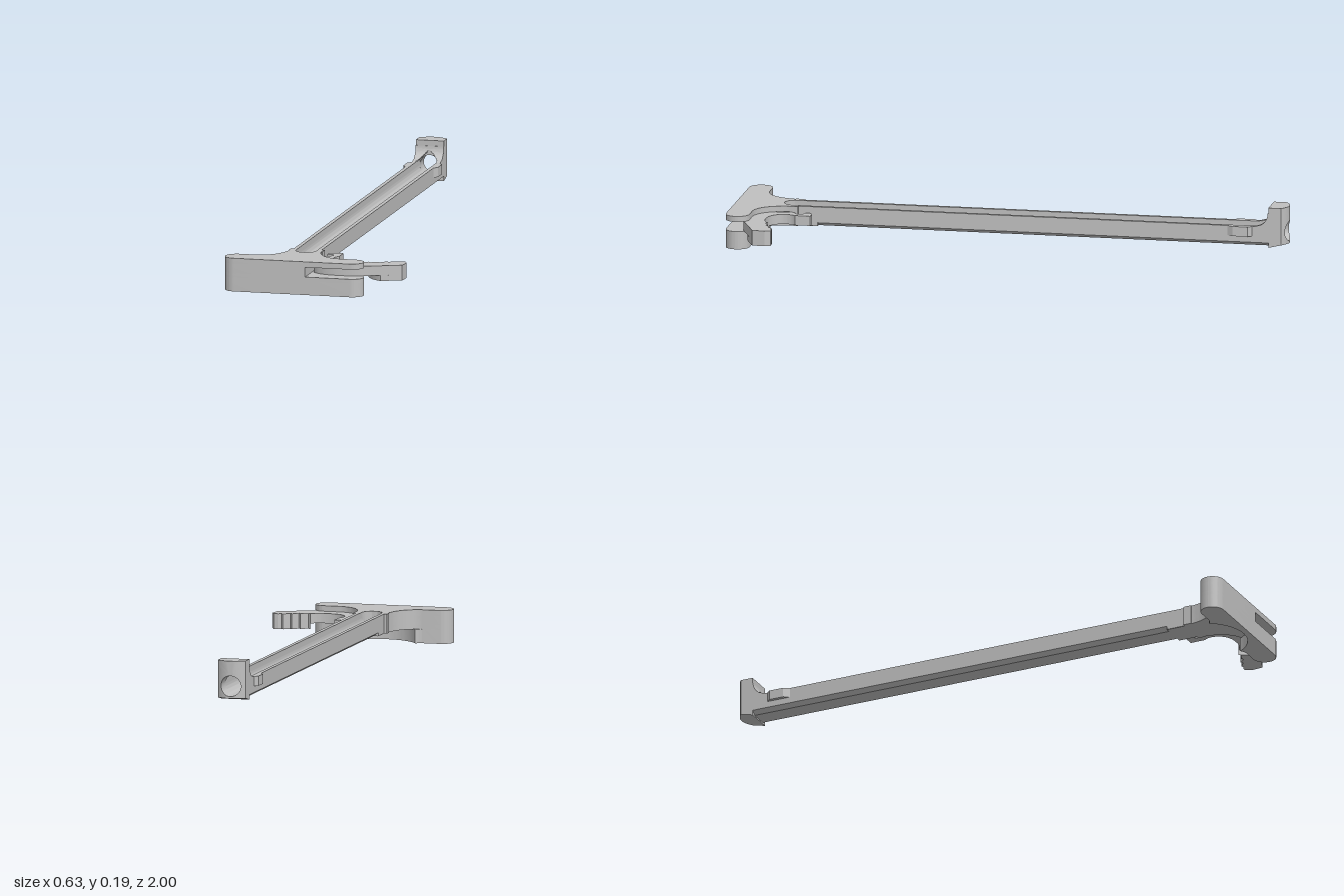
import * as THREE from 'three';
import { toCreasedNormals } from 'three/addons/utils/BufferGeometryUtils.js';
import { ParametricGeometry } from 'three/addons/geometries/ParametricGeometry.js';

const CX = -0.061; // centre line of the bar and handle
const R = 0.037;   // groove and bore radius
const HALF = 0.0515;

export function createModel() {
  const model = new THREE.Group();
  const metal = new THREE.MeshStandardMaterial({ color: 0xc0c0c0 });
  metal.name = 'light grey metal';

  const add = (name, geo, x = 0, y = 0, z = 0) => {
    const mesh = new THREE.Mesh(toCreasedNormals(geo, 0.5), metal);
    mesh.name = name;
    mesh.position.set(x, y, z);
    model.add(mesh);
  };
  const extrude = (shape, depth) =>
    new THREE.ExtrudeGeometry(shape, { depth, bevelEnabled: false, curveSegments: 20 });
  // horizontal plate: the shape is drawn in x and z
  const plate = (name, shape, y0, y1, x = 0) =>
    add(name, extrude(shape, y1 - y0).rotateX(Math.PI / 2), x, y1, 0);
  const poly = (pts) => new THREE.Shape(pts.map((p) => new THREE.Vector2(...p)));

  // long bar with a U groove along the top
  const barSection = (c) => {
    const s = new THREE.Shape();
    s.moveTo(-HALF, 0.12);
    s.lineTo(-HALF, 0.05 + c * 0.7);
    s.lineTo(-HALF + c, 0.05);
    s.lineTo(HALF - c, 0.05);
    s.lineTo(HALF, 0.05 + c * 0.7);
    s.lineTo(HALF, 0.12);
    s.lineTo(R, 0.12);
    s.lineTo(R, 0.1);
    s.absarc(0, 0.1, R, 0, -Math.PI, true);
    s.lineTo(-R, 0.12);
    return s;
  };
  add('bar', extrude(barSection(0.018), 1.635), CX, 0, -0.935);
  add('barRoot', extrude(barSection(0.001), 0.13), CX, 0, 0.7);

  // end lug: a ring section swept round the bore, with a curved rear face
  const corners = [[-HALF, 0.045], [HALF, 0.045], [HALF, 0.19], [-HALF, 0.19]];
  const SIDE = 10, RINGS = 8;
  const lug = (u, v, target) => {
    const k = Math.round(u * SIDE * 4), j = Math.round(v * (RINGS + 3));
    const side = Math.floor(k / SIDE) % 4, t = (k % SIDE) / SIDE;
    const [ax, ay] = corners[side], [bx, by] = corners[(side + 1) % 4];
    const ox = ax + (bx - ax) * t, oy = ay + (by - ay) * t;
    const d = Math.hypot(ox, oy - 0.1);
    const hx = (ox / d) * R, hy = 0.1 + ((oy - 0.1) / d) * R;
    if (j === 0 || j === RINGS + 3) return target.set(hx, hy, -0.932);
    if (j === RINGS + 2) return target.set(ox, oy, -0.932);
    const f = (j - 1) / RINGS;
    const x = hx + (ox - hx) * f;
    const y = hy + (Math.max(oy, 0.056) - hy) * f;
    return target.set(x, y, -1 + 0.022 * (x / HALF) ** 2);
  };
  add('endLug', new ParametricGeometry(lug, SIDE * 4, RINGS + 3), CX);

  // concave fillet between lug and bar, peaked over the groove
  const strips = 24;
  const width = (2 * HALF) / strips;
  for (let i = 0; i < strips; i++) {
    const x = -HALF + width * (i + 0.5);
    const y0 = Math.abs(x) < R
      ? Math.max(0.12 + 0.038 * (1 - Math.abs(x) / R), 0.1 + Math.sqrt(R * R - x * x)) : 0.12;
    const pts = [[0.935, y0]];
    for (let k = 0; k <= 8; k++) {
      const y = y0 + ((0.17 - y0) * k) / 8;
      pts.push([0.88 + Math.sqrt(Math.max(0, 0.0025 - (0.17 - y) ** 2)), y]);
    }
    pts.push([0.935, 0.17]);
    add('lugFillet', extrude(poly(pts), width).rotateY(Math.PI / 2), CX + x - width / 2, 0, 0);
  }

  // guide tabs near the lug and small ears at the handle
  for (const s of [-1, 1]) {
    const tab = poly([[0.045, -0.873], [0.0515, -0.873], [0.064, -0.86], [0.064, -0.805],
      [0.0515, -0.785], [0.045, -0.785]].map(([x, z]) => [s * x, z]));
    plate('guideTab', tab, 0.085, 0.12, CX);
    add('handleEar', new THREE.BoxGeometry(0.014, 0.07, 0.03), CX + s * 0.055, 0.085, 0.785);
  }

  // T handle outline, optionally notched for the groove or cut away for the latch
  const handle = (notch, slot) => {
    const s = new THREE.Shape();
    s.moveTo(-0.058, 0.79);
    s.bezierCurveTo(-0.06, 0.86, -0.1, 0.915, -0.16, 0.915);
    s.lineTo(-0.212, 0.915);
    s.absarc(-0.212, 0.9575, 0.0425, -Math.PI / 2, -Math.PI * 1.5, true);
    if (slot) {
      s.lineTo(0.05, 1);
      s.lineTo(0.05, 0.79);
    } else {
      s.lineTo(0.212, 1);
      s.absarc(0.212, 0.9575, 0.0425, Math.PI / 2, -Math.PI / 2, true);
      s.lineTo(0.16, 0.915);
      s.bezierCurveTo(0.1, 0.915, 0.06, 0.86, 0.058, 0.79);
    }
    if (notch) {
      s.lineTo(R, 0.79);
      s.absarc(0, 0.793, R, 0, Math.PI, false);
      s.lineTo(-R, 0.79);
    }
    return s;
  };
  plate('handleTop', handle(true, false), 0.1, 0.12, CX);
  plate('handleCore', handle(true, true), 0.065, 0.1, CX);
  plate('handleFloor', handle(false, false), 0.05, 0.065, CX);

  // lower grip lip with a round scoop in the middle
  const lip = new THREE.Shape();
  const a = Math.atan2(0.073, 0.128);
  lip.moveTo(-0.128, 0.903);
  lip.quadraticCurveTo(-0.14, 0.915, -0.16, 0.915);
  lip.lineTo(-0.212, 0.915);
  lip.absarc(-0.212, 0.9575, 0.0425, -Math.PI / 2, -Math.PI * 1.5, true);
  lip.lineTo(0.212, 1);
  lip.absarc(0.212, 0.9575, 0.0425, Math.PI / 2, -Math.PI / 2, true);
  lip.lineTo(0.16, 0.915);
  lip.quadraticCurveTo(0.14, 0.915, 0.128, 0.903);
  lip.absarc(0, 0.83, Math.hypot(0.128, 0.073), a, Math.PI - a, false);
  plate('gripLip', lip, 0, 0.05, CX);

  // swinging latch: hook, arm and serrated finger pad
  const serration = [[0.18, 0.842], [0.19, 0.85], [0.215, 0.836], [0.222, 0.842], [0.242, 0.821],
    [0.25, 0.828], [0.272, 0.809], [0.28, 0.814], [0.29, 0.808], [0.306, 0.808], [0.316, 0.828],
    [0.312, 0.873]];
  const latch = new THREE.Shape();
  latch.moveTo(0.004, 0.728);
  latch.lineTo(0.02, 0.714);
  latch.lineTo(0.055, 0.714);
  latch.lineTo(0.055, 0.77);
  latch.bezierCurveTo(0.03, 0.8, 0.045, 0.862, 0.115, 0.862);
  latch.quadraticCurveTo(0.16, 0.864, 0.18, 0.842);
  serration.slice(1).forEach(([x, z]) => latch.lineTo(x, z));
  latch.lineTo(0.19, 0.925);
  latch.bezierCurveTo(0.13, 0.95, 0.04, 0.95, 0, 0.91);
  latch.bezierCurveTo(-0.02, 0.89, 0.02, 0.87, 0.005, 0.82);
  latch.lineTo(0.005, 0.785);
  latch.lineTo(0.03, 0.765);
  latch.lineTo(0.027, 0.746);
  latch.lineTo(0.004, 0.744);
  plate('latch', latch, 0.065, 0.1);
  const pad = poly([...serration, [0.24, 0.904]]);
  pad.quadraticCurveTo(0.2, 0.885, 0.18, 0.842);
  plate('latchPad', pad, 0.045, 0.065);
  return model;
}
